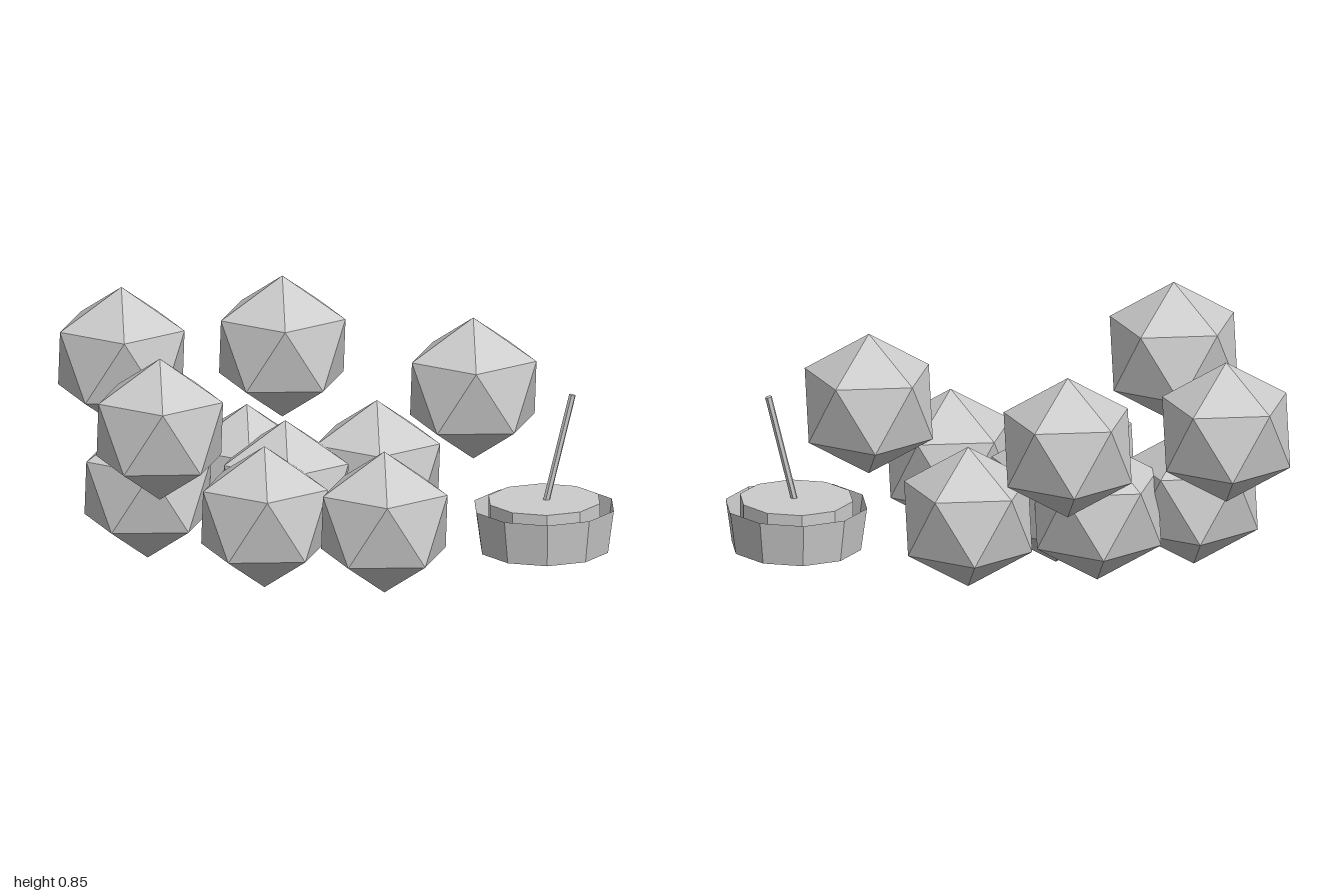
import * as THREE from 'three';

const clayGrey = new THREE.MeshStandardMaterial({ color: 0xcccccc, flatShading: true, side: THREE.DoubleSide });
clayGrey.name = 'clay grey';

const R = 0.2515; // radius of each faceted ball

function addMesh(parent, geometry, name) {
  const mesh = new THREE.Mesh(geometry, clayGrey);
  mesh.name = name;
  parent.add(mesh);
  return mesh;
}

// Balls: icosahedra standing on a vertex, with an upper ring corner toward +x
function addBalls(parent, centres, y, name) {
  const geometry = new THREE.IcosahedronGeometry(R, 0);
  geometry.rotateZ(-Math.atan(2 / (1 + Math.sqrt(5))));
  centres.forEach(([x, z], i) => {
    addMesh(parent, geometry, `${name}${i + 1}`).position.set(x, y, z);
  });
}

// Bowl: open ten-sided wall with a shallow pointed base, filled to just above the rim
function makeBowl() {
  const bowl = new THREE.Group();
  bowl.name = 'bowl';
  const profile = [[0, 0.028], [0.227, 0.062], [0.248, 0.213]].map(([r, y]) => new THREE.Vector2(r, y));
  const shell = new THREE.LatheGeometry(profile, 10);
  shell.rotateY(Math.PI / 2);
  addMesh(bowl, shell, 'bowlShell');

  const filling = new THREE.CylinderGeometry(0.198, 0.198, 0.16, 10);
  filling.rotateY(Math.PI / 2);
  addMesh(bowl, filling, 'bowlFilling').position.y = 0.155;

  // Thin stick leaning out of the filling
  const foot = new THREE.Vector3(0, 0.2, 0);
  const tip = new THREE.Vector3(0.09, 0.605, -0.038);
  const axis = tip.clone().sub(foot);
  const stick = addMesh(bowl, new THREE.CylinderGeometry(0.012, 0.012, axis.length(), 6), 'stick');
  stick.position.copy(foot).add(tip).multiplyScalar(0.5);
  stick.quaternion.setFromUnitVectors(new THREE.Vector3(0, 1, 0), axis.normalize());

  bowl.position.set(0.75, 0, -0.193);
  return bowl;
}

export function createModel() {
  const model = new THREE.Group();
  model.name = 'faceted balls and bowl';
  addBalls(model, [
    [-0.585, 0.082], [-0.298, -0.157], [-0.118, 0], [-0.102, 0.328], [0.119, -0.323], [0.312, 0.282],
  ], R + 0.002, 'lowerBall');
  addBalls(model, [
    [-0.775, -0.268], [-0.28, -0.55], [-0.413, 0.55], [0.489, -0.225],
  ], 0.604, 'upperBall');
  model.add(makeBowl());
  return model;
}
